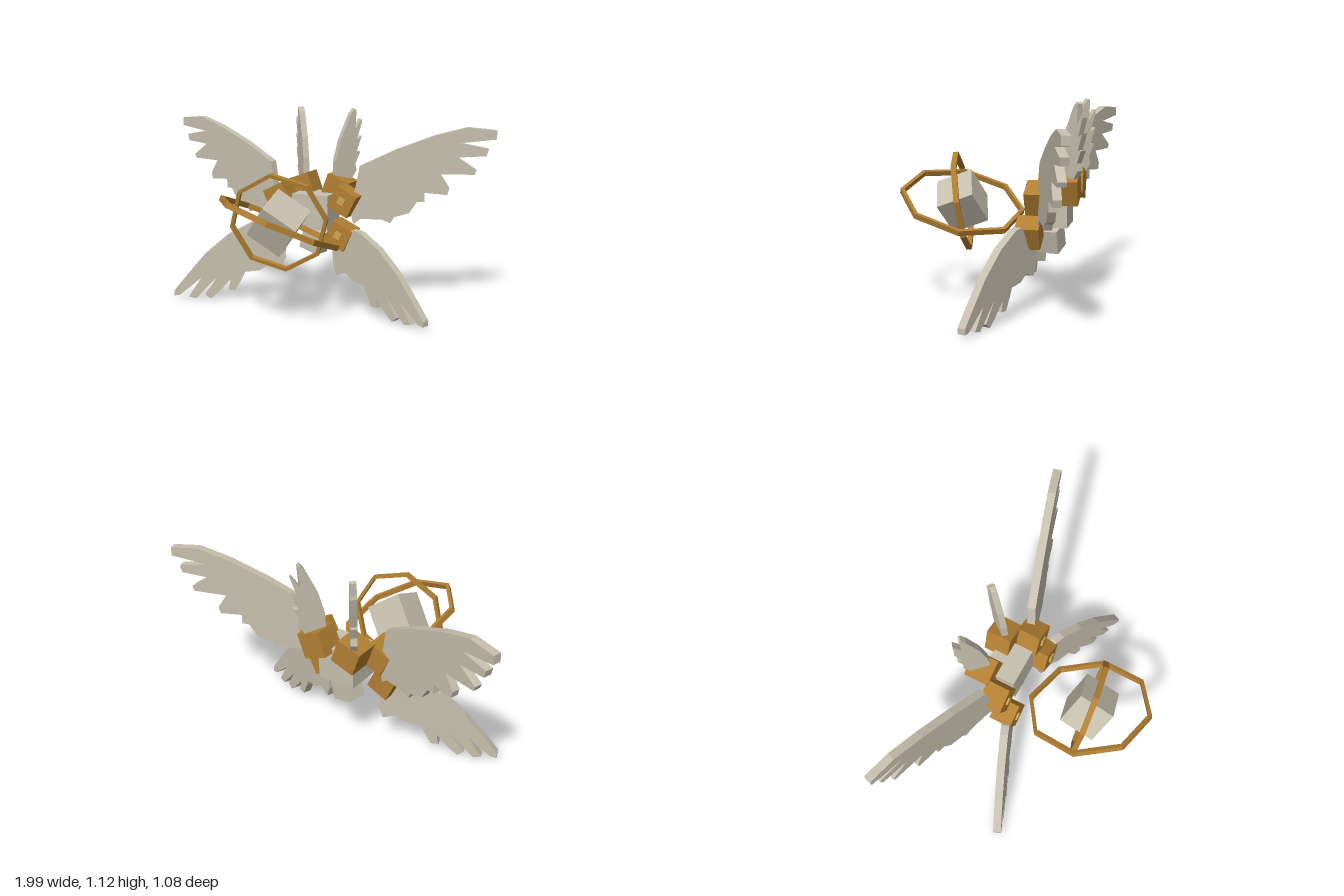
import * as THREE from 'three';

const stone = new THREE.MeshStandardMaterial({ color: 0xc6bfae });
stone.name = 'pale stone';
const gold = new THREE.MeshStandardMaterial({ color: 0xb27f32 });
gold.name = 'gold';
const paleGold = new THREE.MeshStandardMaterial({ color: 0xcda64d });
paleGold.name = 'pale gold';

// Feather outlines as seen from the front, on the +x side
const upperOutline = [
  [0.24, 0.48], [0.28, 0.51], [0.39, 0.51], [0.44, 0.49], [0.46, 0.525], [0.54, 0.55], [0.58, 0.615],
  [0.62, 0.615], [0.62, 0.668], [0.74, 0.658], [0.75, 0.695], [0.70, 0.775], [0.88, 0.775], [0.89, 0.80],
  [0.79, 0.87], [0.94, 0.88], [0.95, 0.92], [0.80, 0.95], [0.99, 0.973], [0.99, 1.022], [0.84, 1.037],
  [0.67, 0.99], [0.47, 0.91], [0.34, 0.845], [0.27, 0.81], [0.25, 0.70], [0.22, 0.56],
];
const lowerOutline = [
  [0.155, 0.33], [0.16, 0.25], [0.18, 0.19], [0.25, 0.215], [0.30, 0.18], [0.38, 0.17], [0.39, 0.14],
  [0.43, 0.06], [0.47, 0.06], [0.46, 0.12], [0.53, 0.04], [0.57, 0.005], [0.60, 0.03], [0.53, 0.14],
  [0.65, 0.005], [0.69, 0.015], [0.62, 0.13], [0.74, 0.025], [0.77, 0.02], [0.77, 0.05], [0.71, 0.13],
  [0.60, 0.27], [0.47, 0.39], [0.34, 0.465], [0.29, 0.47], [0.22, 0.42],
];
const backOutline = [
  [0.10, 0.64], [0.13, 0.68], [0.15, 0.70], [0.175, 0.76], [0.17, 0.80], [0.19, 0.87], [0.175, 0.87],
  [0.195, 0.96], [0.175, 0.94], [0.195, 1.04], [0.193, 1.06], [0.168, 1.0], [0.172, 1.11], [0.165, 1.12],
  [0.15, 1.09], [0.11, 0.95], [0.09, 0.83], [0.085, 0.66],
];

// Flat wing swept about a vertical hinge at (rootX, rootZ); the outline is stretched to suit the sweep
function wing(name, side, outline, rootX, rootZ, sweep, thickness) {
  const points = outline.map(([x, y]) => new THREE.Vector2((side * (x - rootX)) / Math.cos(sweep), y));
  const geometry = new THREE.ExtrudeGeometry(new THREE.Shape(points), { depth: thickness, bevelEnabled: false });
  geometry.translate(0, 0, -thickness / 2);
  const mesh = new THREE.Mesh(geometry, stone);
  mesh.name = name;
  mesh.position.set(side * rootX, 0, rootZ);
  mesh.rotation.y = side * sweep;
  return mesh;
}

function box(name, size, position, rotation, material) {
  const mesh = new THREE.Mesh(new THREE.BoxGeometry(...size), material);
  mesh.name = name;
  mesh.position.set(...position);
  mesh.rotation.set(...rotation);
  return mesh;
}

// Eight-sided square-section ring with one corner towards `corner`, facing along `normal`
function ring(name, radius, width, depth, corner, normal) {
  const octagon = (r) => Array.from({ length: 8 }, (_, i) =>
    new THREE.Vector2(r * Math.cos((i * Math.PI) / 4), r * Math.sin((i * Math.PI) / 4)));
  const shape = new THREE.Shape(octagon(radius));
  shape.holes.push(new THREE.Path(octagon(radius - width)));
  const geometry = new THREE.ExtrudeGeometry(shape, { depth, bevelEnabled: false });
  geometry.translate(0, 0, -depth / 2);
  const mesh = new THREE.Mesh(geometry, gold);
  mesh.name = name;
  mesh.up.set(...corner).normalize();
  mesh.lookAt(...normal);
  return mesh;
}

export function createModel() {
  const model = new THREE.Group();
  model.name = 'wingedGuardian';

  // Body
  model.add(box('chest', [0.22, 0.2, 0.19], [0, 0.54, -0.31], [0, 0, 0], stone));
  model.add(box('lowerBody', [0.125, 0.13, 0.11], [0, 0.365, -0.305], [0, -0.2, -0.28], stone));

  // Wings with their joint blocks and pins
  for (const side of [1, -1]) {
    const label = side > 0 ? 'left' : 'right';
    model.add(wing(label + 'UpperWing', side, upperOutline, 0.22, -0.288, 0.3, 0.045));
    model.add(wing(label + 'LowerWing', side, lowerOutline, 0.155, -0.228, -0.37, 0.045));
    model.add(wing(label + 'BackWing', side, backOutline, 0.08, -0.36, 0.9, 0.035));

    const joints = [
      ['UpperJoint', 0.2, 0.615, -0.268, 0.135, -0.47],
      ['LowerJoint', 0.2, 0.428, -0.215, 0.13, -0.45],
      ['BackJoint', 0.108, 0.66, -0.397, 0.142, -0.35],
    ];
    for (const [part, x, y, z, size, roll] of joints) {
      model.add(box(label + part, [size, size, size], [side * x, y, z], [0, 0, side * roll], gold));
      if (part !== 'BackJoint') {
        model.add(box(label + part + 'Pin', [0.04, 0.04, 0.02],
          [side * x, y + 0.005, z + size / 2], [0, 0, side * roll], paleGold));
      }
    }
  }

  // Floating cube inside two crossed rings
  const core = new THREE.Group();
  core.name = 'floatingCore';
  core.add(box('coreCube', [0.212, 0.212, 0.212], [0, 0, 0], [0.365, 0, -0.63], stone));
  core.add(ring('outerRing', 0.35, 0.022, 0.03, [0.086, 0.06, 0.33], [0.307, 0.918, -0.248]));
  core.add(ring('innerRing', 0.275, 0.02, 0.03, [-0.027, 0.265, 0.043], [0.15, -0.15, 1]));
  core.position.set(0, 0.553, 0.2);
  model.add(core);

  return model;
}
